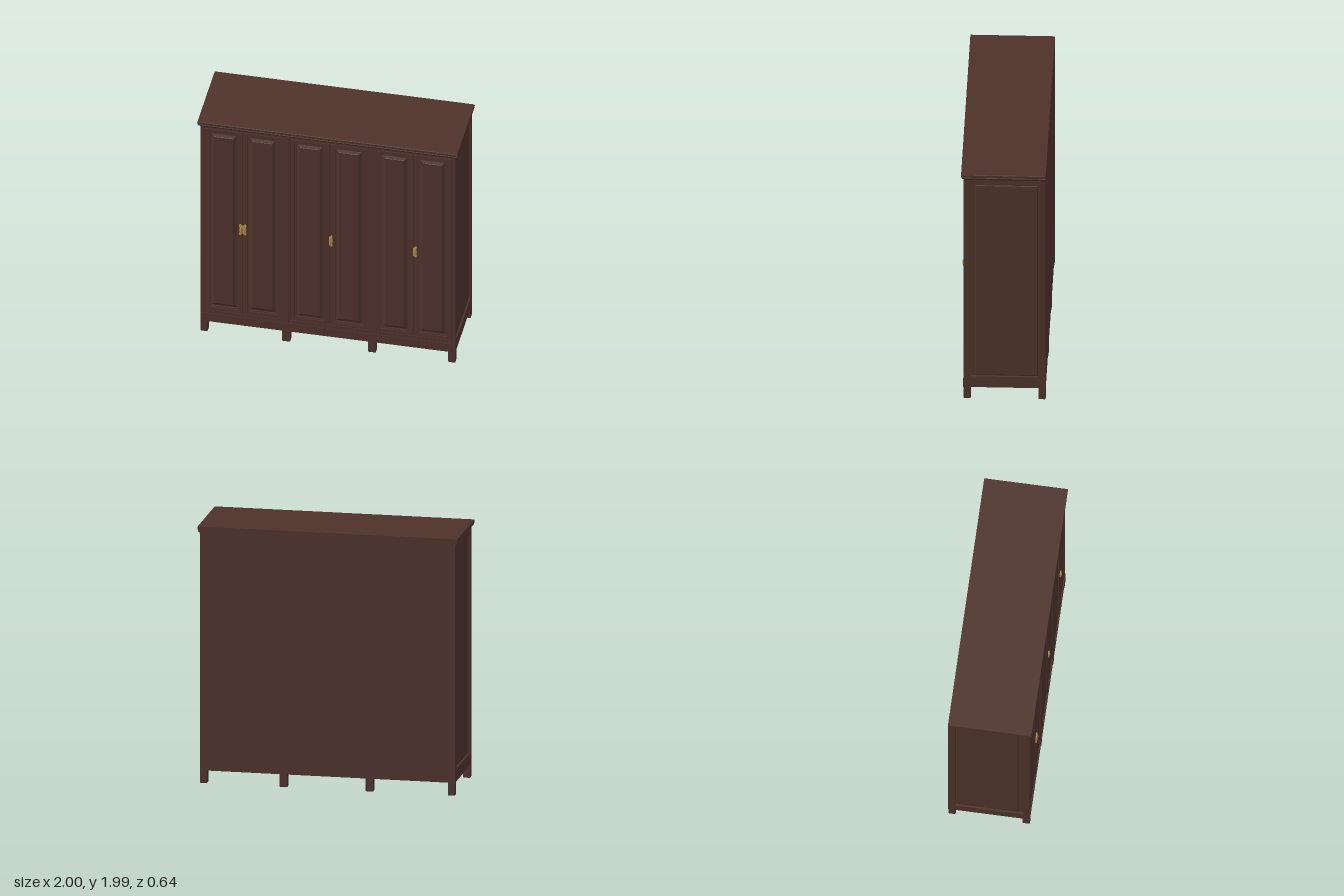
import * as THREE from 'three';
import { RoundedBoxGeometry } from 'three/addons/geometries/RoundedBoxGeometry.js';

const wood = new THREE.MeshStandardMaterial({ color: 0x4e322b });
const brass = new THREE.MeshStandardMaterial({ color: 0xb08a45 });

function add(parent, name, geometry, material = wood) {
  const mesh = new THREE.Mesh(geometry, material);
  mesh.name = name;
  parent.add(mesh);
  return mesh;
}

// Rectangle outline as a path or shape
function rect(Type, x0, y0, x1, y1) {
  return new Type([[x0, y0], [x1, y0], [x1, y1], [x0, y1]].map(p => new THREE.Vector2(...p)));
}

// Flat board with rectangular openings, its back at z = 0
function frame(outer, holes, depth) {
  const shape = rect(THREE.Shape, ...outer);
  shape.holes = holes.map(h => rect(THREE.Path, ...h));
  return new THREE.ExtrudeGeometry(shape, { depth, bevelEnabled: false });
}

// Stack of rectangles [y or z level, x0, x1, b0, b1] joined into a closed solid
function loft(levels, place) {
  const corner = ([h, x0, x1, b0, b1], i) =>
    place([[x0, b0], [x1, b0], [x1, b1], [x0, b1]][i % 4], h);
  const pos = [];
  const quad = (a, b, c, d) => pos.push(...a, ...b, ...c, ...a, ...c, ...d);
  for (let k = 0; k + 1 < levels.length; k++) {
    for (let i = 0; i < 4; i++) {
      quad(corner(levels[k], i), corner(levels[k], i + 1),
        corner(levels[k + 1], i + 1), corner(levels[k + 1], i));
    }
  }
  const last = levels[levels.length - 1];
  quad(...[0, 1, 2, 3].map(i => corner(last, i)));
  quad(...[3, 2, 1, 0].map(i => corner(levels[0], i)));
  const g = new THREE.BufferGeometry();
  g.setAttribute('position', new THREE.Float32BufferAttribute(pos, 3));
  g.computeVertexNormals();
  return g;
}

// Raised panel in the xy plane: each step is [z, inset]
function raisedPanel([x0, y0, x1, y1], steps) {
  return loft(steps.map(([z, s]) => [z, x0 + s, x1 - s, y0 + s, y1 - s]),
    ([x, y], z) => [x, y, z]);
}

// Door leaf: stiles and rails, stepped moulding and a fielded panel
function makeDoor(x0, x1) {
  const door = new THREE.Group();
  door.name = 'door';
  const outer = [x0 + 0.002, 0.21, x1 - 0.002, 1.92];
  const open = [x0 + 0.036, 0.24, x1 - 0.036, 1.89];
  const inner = [open[0] + 0.009, open[1] + 0.009, open[2] - 0.009, open[3] - 0.009];
  add(door, 'doorFrame', frame(outer, [open], 0.02)).position.z = 0.28;
  add(door, 'doorMoulding', frame(open, [inner], 0.013)).position.z = 0.28;
  add(door, 'doorPanel', raisedPanel(inner,
    [[0.27, 0], [0.283, 0], [0.285, 0.008], [0.295, 0.028], [0.297, 0.03]]));
  return door;
}

// One half of a handle plate, reaching from the door joint towards +x
function makeHandle() {
  const handle = new THREE.Group();
  handle.name = 'handle';
  const s = new THREE.Shape();
  s.moveTo(0.003, -0.035);
  s.quadraticCurveTo(0.012, -0.035, 0.015, -0.047);
  s.quadraticCurveTo(0.026, -0.05, 0.026, -0.035);
  s.quadraticCurveTo(0.02, -0.015, 0.027, 0);
  s.quadraticCurveTo(0.02, 0.015, 0.026, 0.035);
  s.quadraticCurveTo(0.026, 0.05, 0.015, 0.047);
  s.quadraticCurveTo(0.012, 0.035, 0.003, 0.035);
  add(handle, 'handlePlate', new THREE.ExtrudeGeometry(s, {
    depth: 0.008, bevelSize: 0.002, bevelThickness: 0.003, bevelSegments: 2, curveSegments: 6,
  }), brass);
  const grip = add(handle, 'handleGrip', new THREE.SphereGeometry(1, 16, 10), brass);
  grip.scale.set(0.008, 0.032, 0.007);
  grip.position.set(0.013, 0, 0.01);
  return handle;
}

export function createModel() {
  const model = new THREE.Group();
  model.name = 'wardrobe';
  const bays = [[-0.95, -0.355], [-0.29, 0.31], [0.365, 0.95]];

  // Carcass
  const core = add(model, 'carcass', new THREE.BoxGeometry(1.92, 1.81, 0.595));
  core.position.set(0, 1.035, -0.0225);

  // Front frame with an opening for each pair of doors
  add(model, 'frontFrame', frame([-0.98, 0.1, 0.98, 1.94],
    bays.map(([a, b]) => [a, 0.205, b, 1.925]), 0.027)).position.z = 0.27;
  const rail = add(model, 'bottomRail', new THREE.BoxGeometry(1.96, 0.075, 0.01));
  rail.position.set(0, 0.1375, 0.296);

  // Raised strips on the uprights between bays
  for (const x of [-0.3225, 0.3375]) {
    const strip = add(model, 'divider', new THREE.BoxGeometry(0.045, 1.755, 0.008));
    strip.position.set(x, 1.0575, 0.297);
  }

  // Doors and handles
  bays.forEach(([a, b], i) => {
    const mid = (a + b) / 2;
    model.add(makeDoor(a, mid), makeDoor(mid, b));
    const sides = i === 0 ? [1, -1] : [1];
    for (const side of sides) {
      const handle = makeHandle();
      handle.position.set(mid, 1.01, 0.3);
      if (side < 0) {
        handle.rotation.z = Math.PI;
      }
      model.add(handle);
    }
  });

  // Framed side panels
  for (const side of [1, -1]) {
    const wall = new THREE.Group();
    wall.name = side > 0 ? 'leftSide' : 'rightSide';
    const flip = -side;
    const z = (a, b) => [Math.min(a * flip, b * flip), Math.max(a * flip, b * flip)];
    const [o0, o1] = z(-0.32, 0.297);
    const [h0, h1] = z(-0.265, 0.25);
    const [p0, p1] = z(-0.262, 0.212);
    add(wall, 'sideFrame', frame([o0, 0.1, o1, 1.94], [[h0, 0.195, h1, 1.89]], 0.025));
    add(wall, 'sidePanel', raisedPanel([p0, 0.2, p1, 1.885],
      [[0, 0], [0.011, 0], [0.016, 0.008]]));
    wall.rotation.y = side * Math.PI / 2;
    wall.position.x = side * 0.955;
    model.add(wall);
  }

  // Rails under the floor
  const under = add(model, 'floorFrame', frame([-0.98, -0.297, 0.98, 0.32],
    [[-0.95, -0.335], [-0.31, 0.325], [0.35, 0.95]].map(([a, b]) => [a, -0.265, b, 0.295]), 0.032));
  under.rotation.x = -Math.PI / 2;
  under.position.y = 0.1;

  // Back board
  const back = add(model, 'backBoard', new THREE.BoxGeometry(1.958, 1.84, 0.02));
  back.position.set(0, 1.02, -0.31);

  // Moulded cornice, flush at the back
  const profile = [[1.935, 0], [1.945, 0.004], [1.95, 0.012], [1.957, 0.015],
    [1.962, 0.012], [1.966, 0.019], [1.985, 0.02], [1.99, 0.017]];
  add(model, 'cornice', loft(
    profile.map(([y, o]) => [y, -0.98 - o, 0.98 + o, -0.297 - o, 0.32]),
    ([x, b], y) => [x, y, -b]));

  // Legs
  for (const [x, w] of [[-0.952, 0.055], [-0.321, 0.062], [0.339, 0.06], [0.952, 0.055]]) {
    for (const z of [0.272, -0.292]) {
      const leg = add(model, 'leg', new RoundedBoxGeometry(w, 0.13, 0.055, 2, 0.006));
      leg.position.set(x, 0.065, z);
    }
  }
  return model;
}
